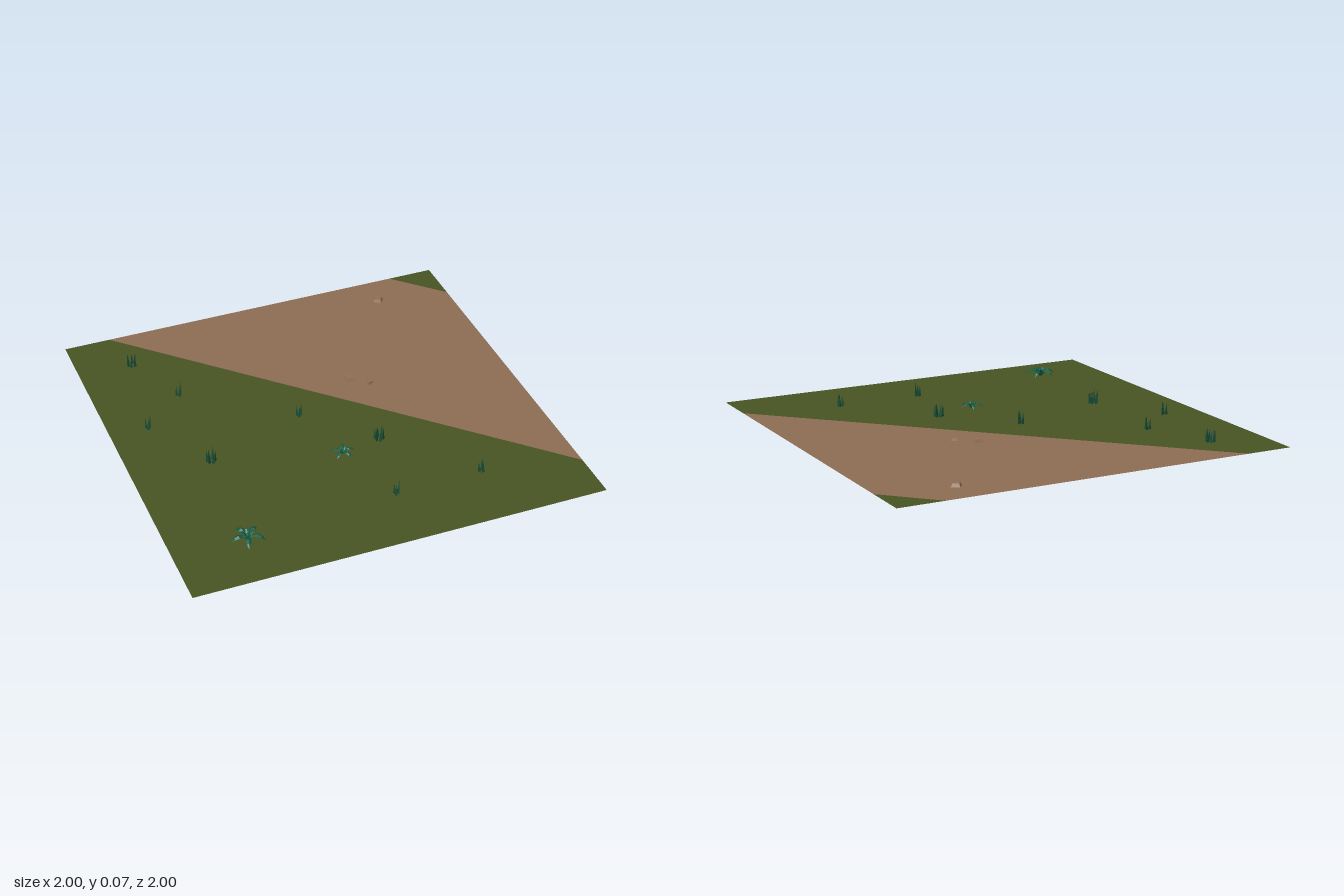
import * as THREE from 'three';

const flat = (name, color, extra = {}) => {
  const m = new THREE.MeshStandardMaterial({ color, flatShading: true, ...extra });
  m.name = name;
  return m;
};
const both = { side: THREE.DoubleSide };

// Flat patch of ground from [x, z] corners
function patch(name, corners, material) {
  const shape = new THREE.Shape(corners.map(([x, z]) => new THREE.Vector2(x, -z)));
  const mesh = new THREE.Mesh(new THREE.ShapeGeometry(shape).rotateX(-Math.PI / 2), material);
  mesh.name = name;
  return mesh;
}

// Folded leaf arching out along +x: cross-sections are [distance, height, half width]
function leafGeometry(sections, fold) {
  const pos = [], idx = [];
  sections.forEach(([x, y, w], i) => {
    pos.push(x, y - w * fold, -w, x, y, 0, x, y - w * fold, w);
    if (i === 0) return;
    for (let k = 0; k < 2; k++) {
      const a = (i - 1) * 3 + k, b = a + 3;
      idx.push(a, a + 1, b, a + 1, b + 1, b);
    }
  });
  const g = new THREE.BufferGeometry();
  g.setAttribute('position', new THREE.Float32BufferAttribute(pos, 3));
  g.setIndex(idx);
  g.computeVertexNormals();
  return g;
}

export function createModel() {
  const group = new THREE.Group();
  const grassGround = flat('grass green', 0x475323, both);
  const dirt = flat('dirt brown', 0x8c6d52, both);
  const blade = flat('blade green', 0x164a34, both);
  const leaf = flat('leaf teal', 0x0f5b43, both);
  const stone = flat('stone brown', 0x8f6f56);

  // Ground split by a diagonal dirt path
  group.add(
    patch('grassField', [[-1, -1], [-1, 1], [1, 1], [1, 0.76], [-0.77, -1]], grassGround),
    patch('dirtPath', [[-0.77, -1], [1, 0.76], [1, -0.77], [0.77, -1]], dirt),
    patch('grassCorner', [[0.77, -1], [1, -0.77], [1, -1]], grassGround),
  );

  // Grass tufts: [x, z, blade count, turn]
  const bladeGeo = new THREE.ConeGeometry(0.0085, 1, 3).translate(0, 0.5, 0);
  const tufts = [
    [-0.73, -0.745, 6, 0.2], [-0.59, -0.42, 3, 0.6], [-0.81, -0.22, 3, 0.4], [-0.105, -0.05, 3, 0.3],
    [-0.615, 0.13, 6, 0.8], [0.18, 0.26, 6, 0.5], [0.095, 0.67, 3, 0.1], [0.525, 0.66, 3, 0.9],
  ];
  for (const [x, z, n, turn] of tufts) {
    const tuft = new THREE.Group();
    tuft.name = 'grassTuft';
    tuft.position.set(x, 0, z);
    const spread = n > 3 ? 0.018 : 0.01;
    for (let i = 0; i < n; i++) {
      const spoke = new THREE.Group();
      spoke.rotation.y = turn + (i / n) * Math.PI * 2;
      const b = new THREE.Mesh(bladeGeo, blade);
      b.name = 'grassBlade';
      b.position.x = spread;
      b.rotation.z = -0.06;
      b.scale.y = [0.072, 0.055, 0.063][i % 3];
      spoke.add(b);
      tuft.add(spoke);
    }
    group.add(tuft);
  }

  // Leafy plants: five long drooping leaves around five short upright ones
  const outer = leafGeometry(
    [[0.002, 0.008, 0.003], [0.022, 0.036, 0.009], [0.044, 0.044, 0.014], [0.064, 0.036, 0.01], [0.083, 0.014, 0]], 0.5);
  const inner = leafGeometry(
    [[0.001, 0.012, 0.003], [0.012, 0.036, 0.008], [0.026, 0.048, 0.008], [0.038, 0.044, 0]], 0.4);
  for (const [x, z, size, turn] of [[-0.65, 0.73, 1, 32], [-0.025, 0.31, 0.71, -4]]) {
    const plant = new THREE.Group();
    plant.name = 'leafyPlant';
    plant.position.set(x, 0, z);
    plant.scale.setScalar(size);
    for (let i = 0; i < 5; i++) {
      const long = new THREE.Mesh(outer, leaf), short = new THREE.Mesh(inner, leaf);
      long.name = 'longLeaf';
      short.name = 'shortLeaf';
      long.rotation.y = -THREE.MathUtils.degToRad(turn + i * 72);
      short.rotation.y = long.rotation.y + Math.PI / 5;
      plant.add(long, short);
    }
    group.add(plant);
  }

  // Stones with sloped sides: [x, z, sides, radius, height, turn]
  const stones = [
    [0.635, -0.83, 4, 0.03, 0.016, 0.15], [0.23, -0.24, 4, 0.032, 0.016, 0.8], [0.312, -0.17, 3, 0.018, 0.011, -0.5],
  ];
  for (const [x, z, sides, r, h, turn] of stones) {
    const s = new THREE.Mesh(new THREE.CylinderGeometry(r * 0.7, r, h, sides), stone);
    s.name = 'stone';
    s.position.set(x, h / 2, z);
    s.rotation.y = turn;
    group.add(s);
  }
  return group;
}
